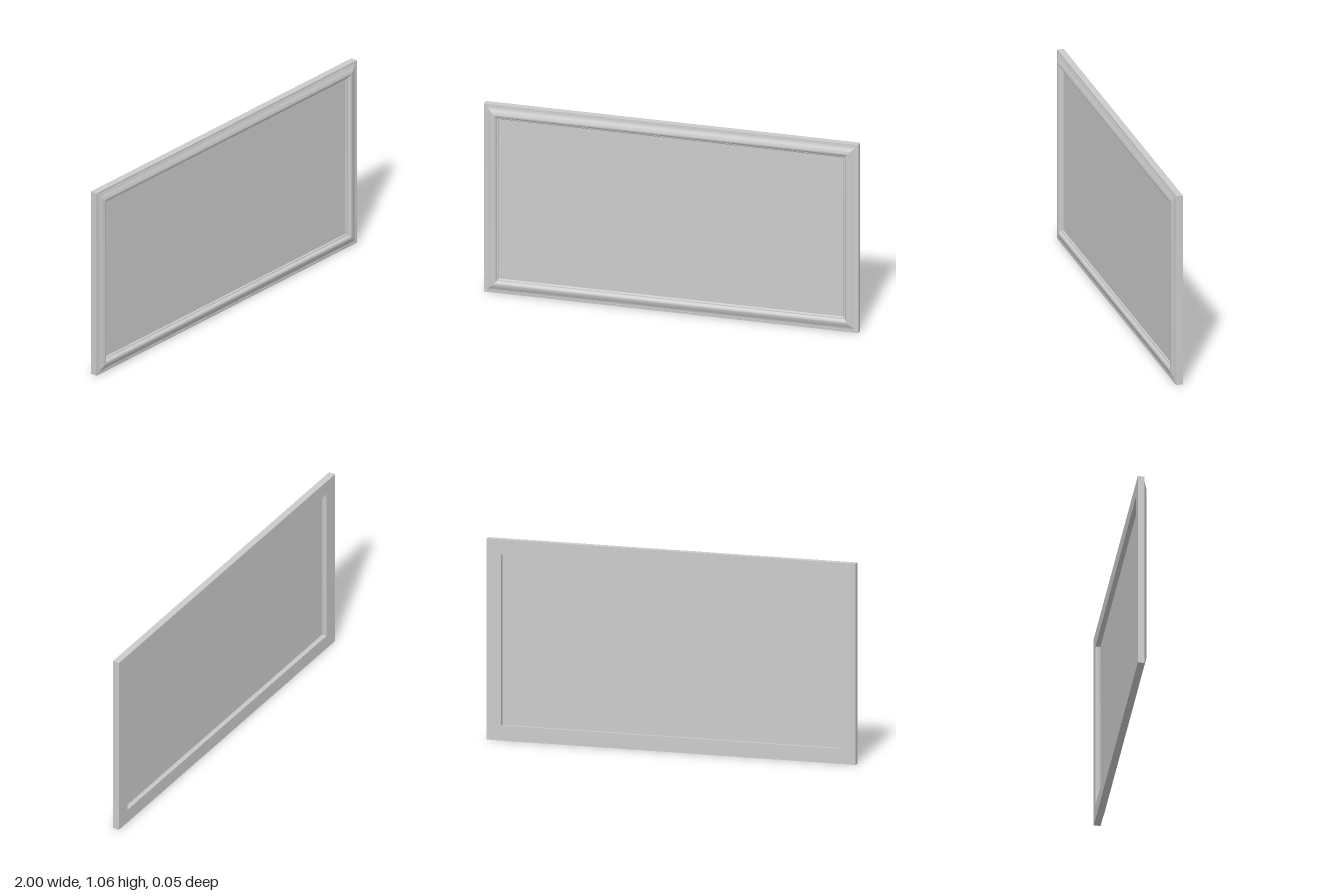
import * as THREE from 'three';
import { toCreasedNormals } from 'three/addons/utils/BufferGeometryUtils.js';

const W = 2, H = 1.06, BACK = -0.025, RAIL = 0.08;

// Moulding section: [inset from the outer edge, z], from outer back over the front to inner back
const profile = [
  [0, BACK], [0, 0.011], [0.011, 0.011], [0.011, 0.008], [0.015, 0.008], [0.015, 0.012], [0.02, 0.013],
  [0.027, 0.0155], [0.034, 0.019], [0.041, 0.0225], [0.048, 0.0247], [0.055, 0.025],
  [0.061, 0.0235], [0.066, 0.02], [0.069, 0.015], [0.07, 0.011], [0.075, 0.011],
  [0.078, 0.009], [RAIL, 0.006], [RAIL, BACK],
];

// Corner signs, anticlockwise seen from the front
const corners = [[-1, -1], [1, -1], [1, 1], [-1, 1]];

function cornerPoint(k, i) {
  const [sx, sy] = corners[k % 4];
  const [inset, z] = profile[i % profile.length];
  return [sx * (W / 2 - inset), H / 2 + sy * (H / 2 - inset), z];
}

// One mitred rail between corner k and the next
function railGeometry(k) {
  const pos = [];
  for (let i = 0; i < profile.length; i++) {
    const a = cornerPoint(k, i), b = cornerPoint(k + 1, i);
    const c = cornerPoint(k + 1, i + 1), d = cornerPoint(k, i + 1);
    pos.push(...a, ...b, ...c, ...a, ...c, ...d);
  }
  const geo = new THREE.BufferGeometry();
  geo.setAttribute('position', new THREE.Float32BufferAttribute(pos, 3));
  return toCreasedNormals(geo, 0.6);
}

export function createModel() {
  const model = new THREE.Group();
  const material = new THREE.MeshStandardMaterial({ color: 0xcccccc });

  // Moulded frame
  const frame = new THREE.Group();
  frame.name = 'frame';
  ['bottomRail', 'leftRail', 'topRail', 'rightRail'].forEach((name, k) => {
    const rail = new THREE.Mesh(railGeometry(k), material);
    rail.name = name;
    frame.add(rail);
  });
  model.add(frame);

  // Thin panel set into the frame, leaving a recess at the back
  const panel = new THREE.Mesh(new THREE.BoxGeometry(W - 2 * RAIL, H - 2 * RAIL, 0.003), material);
  panel.name = 'panel';
  panel.position.set(0, H / 2, 0.002);
  model.add(panel);

  return model;
}
